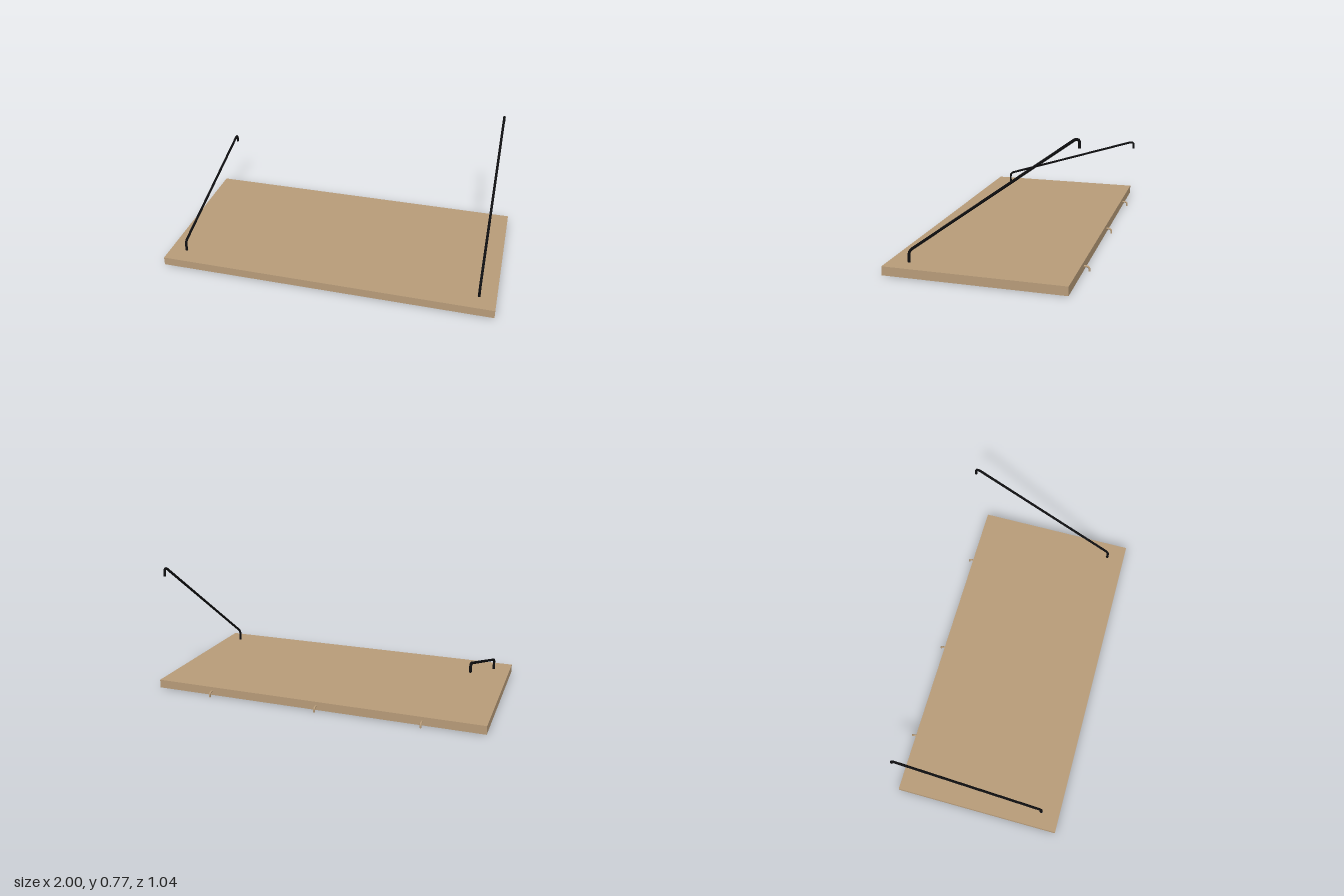
import * as THREE from 'three';
import { mergeGeometries } from 'three/addons/utils/BufferGeometryUtils.js';

const wood = new THREE.MeshStandardMaterial({ color: 0xb99d7a });
wood.name = 'wood';
const blackSteel = new THREE.MeshStandardMaterial({ color: 0x0e0e10 });
blackSteel.name = 'black steel';

// Round bar through [z, y] corners, bends softened over the given lengths
function bentRod(corners, bends, radius) {
  const pts = corners.map(([z, y]) => new THREE.Vector3(0, y, z));
  const path = new THREE.CurvePath();
  let from = pts[0];
  for (let i = 1; i < pts.length - 1; i++) {
    const toward = (p) => p.clone().sub(pts[i]).setLength(bends[i - 1]).add(pts[i]);
    const start = toward(pts[i - 1]);
    const end = toward(pts[i + 1]);
    path.add(new THREE.LineCurve3(from, start));
    path.add(new THREE.QuadraticBezierCurve3(start, pts[i], end));
    from = end;
  }
  path.add(new THREE.LineCurve3(from, pts[pts.length - 1]));
  const parts = [new THREE.TubeGeometry(path, 160, radius, 12)];
  // End caps
  for (const [t, sign] of [[0, -1], [1, 1]]) {
    const dir = path.getTangentAt(t).multiplyScalar(sign);
    const cap = new THREE.CircleGeometry(radius, 12);
    cap.applyQuaternion(new THREE.Quaternion().setFromUnitVectors(new THREE.Vector3(0, 0, 1), dir));
    const p = path.getPointAt(t);
    parts.push(cap.translate(p.x, p.y, p.z));
  }
  return mergeGeometries(parts);
}

// Horizontal board layer with a rounded slot at each rod
function boardLayer(bottom, top, slotBack, slotFront, r) {
  const shape = new THREE.Shape([
    new THREE.Vector2(-1, -0.52), new THREE.Vector2(1, -0.52),
    new THREE.Vector2(1, 0.48), new THREE.Vector2(-1, 0.48),
  ]);
  for (const x of [-0.9, 0.9]) {
    const slot = new THREE.Path();
    slot.absarc(x, -slotFront, r, Math.PI, Math.PI * 2);
    slot.absarc(x, -slotBack, r, 0, Math.PI);
    slot.closePath();
    shape.holes.push(slot);
  }
  const geo = new THREE.ExtrudeGeometry(shape, { depth: top - bottom, bevelEnabled: false, curveSegments: 10 });
  return geo.rotateX(-Math.PI / 2).translate(0, bottom, 0);
}

export function createModel() {
  const model = new THREE.Group();
  model.name = 'hangingShelf';
  const add = (name, geometry, material, x = 0) => {
    const mesh = new THREE.Mesh(geometry, material);
    mesh.name = name;
    mesh.position.x = x;
    model.add(mesh);
  };

  // Board: round holes above, long recesses below
  add('boardTop', boardLayer(0.019, 0.052, 0.4075, 0.409, 0.01), wood);
  add('boardUnderside', boardLayer(0.002, 0.019, 0.312, 0.409, 0.01), wood);

  // Support rods, hooked at the wall end and bent into the board recess
  const rod = (hookZ, hookY, endY, hookBend) => bentRod(
    [[0.308, 0.0105], [0.408, 0.0105], [0.408, 0.113], [hookZ, hookY], [hookZ, endY]],
    [0.012, 0.025, hookBend], 0.0075);
  add('leftSupportRod', rod(-0.502, 0.776, 0.718, 0.04), blackSteel, 0.9);
  add('rightSupportRod', rod(-0.509, 0.404, 0.354, 0.03), blackSteel, -0.9);

  // Small hooks along the back edge
  for (const x of [-0.647, -0.027, 0.641]) {
    add('backHook', bentRod([[-0.465, 0.027], [-0.51, 0.027], [-0.51, 0]], [0.018], 0.0055), wood, x);
  }
  return model;
}
